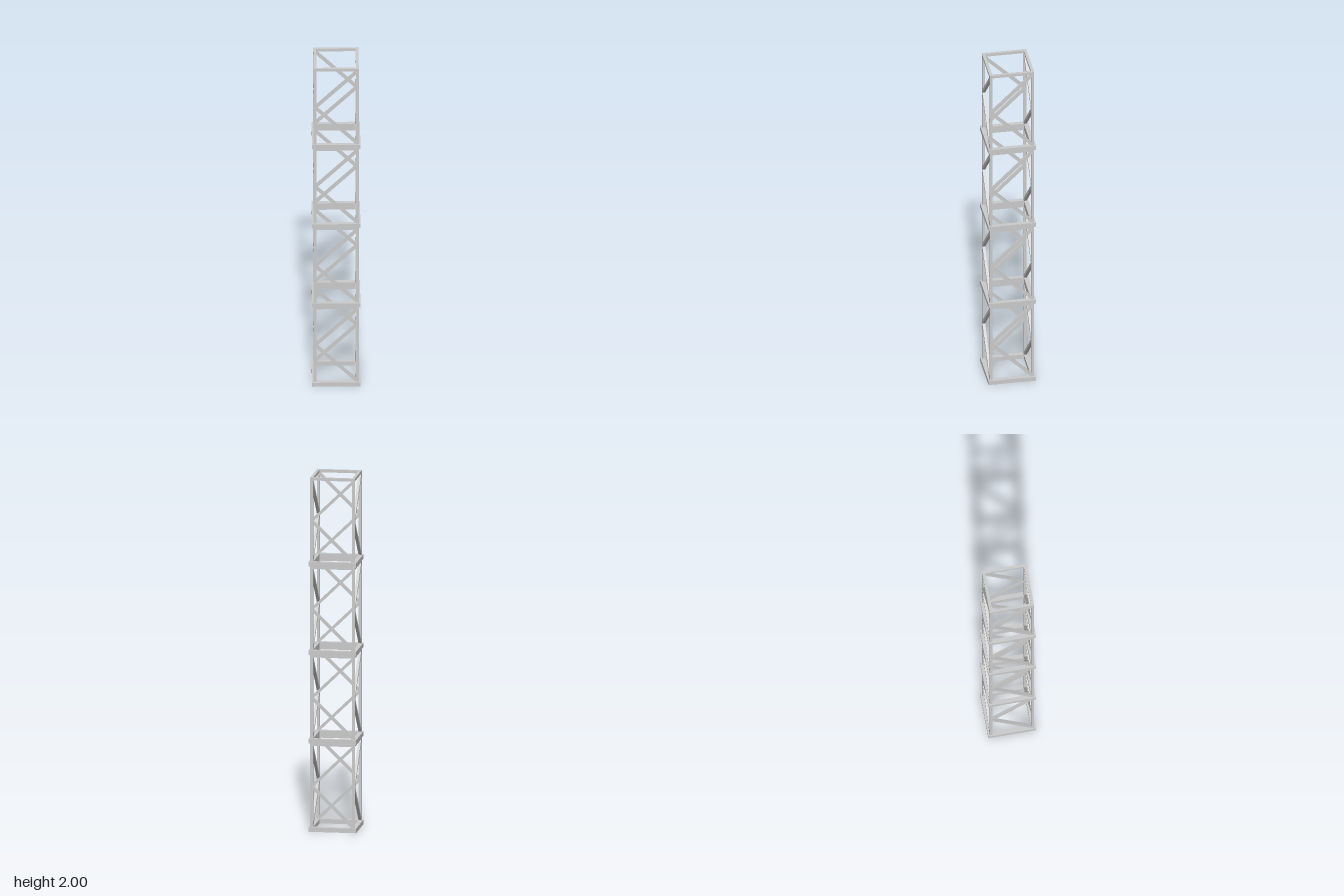
import * as THREE from 'three';

const steel = new THREE.MeshStandardMaterial({ color: 0xcacaca });
steel.name = 'light grey steel';

const MODULES = 4, PITCH = 0.5;
const HALF = 0.125, BAR = 0.016;       // frame half width, bar thickness
const FLANGE_HALF = 0.134, FLANGE_H = 0.025;
const C = HALF - BAR / 2;              // bar centre line

function add(parent, name, geometry, x = 0, y = 0, z = 0) {
  const mesh = new THREE.Mesh(geometry, steel);
  mesh.name = name;
  mesh.position.set(x, y, z);
  parent.add(mesh);
  return mesh;
}

function square(path, h) {
  path.moveTo(-h, -h);
  path.lineTo(h, -h);
  path.lineTo(h, h);
  path.lineTo(-h, h);
  path.closePath();
  return path;
}

// Flat square ring rising from y = 0
function ring(outer, inner, height) {
  const shape = square(new THREE.Shape(), outer);
  shape.holes.push(square(new THREE.Path(), inner));
  return new THREE.ExtrudeGeometry(shape, { depth: height, bevelEnabled: false }).rotateX(-Math.PI / 2);
}

// Square strut in the front plane of a side, between two (x, y) points
function strut(parent, name, x1, y1, x2, y2) {
  const mesh = add(parent, name, new THREE.BoxGeometry(BAR, Math.hypot(x2 - x1, y2 - y1), BAR - 0.0006),
    (x1 + x2) / 2, (y1 + y2) / 2, C);
  mesh.rotation.z = -Math.atan2(x2 - x1, y2 - y1);
}

function trussModule() {
  const group = new THREE.Group();
  const top = PITCH - BAR, mid = (FLANGE_H + top) / 2;
  add(group, 'baseFlange', ring(FLANGE_HALF, HALF - BAR, FLANGE_H));
  add(group, 'topRing', ring(HALF, HALF - BAR, BAR), 0, top, 0);

  // Each side carries one corner post and a pair of braces meeting at its left post
  for (let i = 0; i < 4; i++) {
    const side = new THREE.Group();
    side.name = 'side' + (i + 1);
    side.rotation.y = i * Math.PI / 2;
    add(side, 'cornerPost', new THREE.BoxGeometry(BAR, top - FLANGE_H, BAR), C, mid, C);
    strut(side, 'upperBrace', -C, mid, C, top - 0.002);
    strut(side, 'lowerBrace', -C, mid, C, FLANGE_H + 0.002);
    group.add(side);
  }
  return group;
}

export function createModel() {
  const tower = new THREE.Group();
  tower.name = 'latticeTower';
  for (let i = 0; i < MODULES; i++) {
    const section = trussModule();
    section.name = 'section' + (i + 1);
    section.position.y = i * PITCH;
    tower.add(section);
  }
  tower.rotation.y = -Math.PI / 6;
  const model = new THREE.Group();
  model.name = 'trussTower';
  model.add(tower);
  return model;
}
